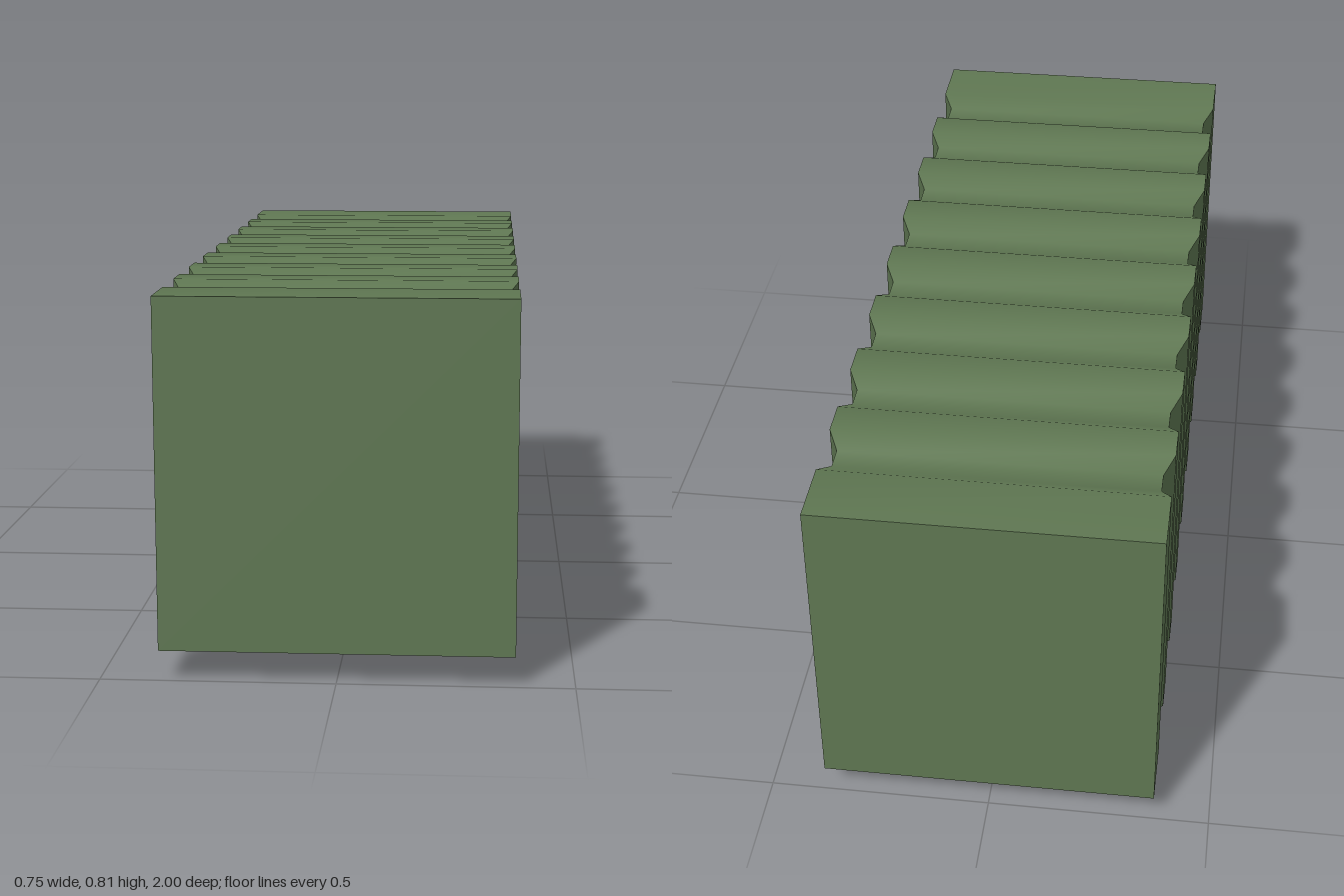
import * as THREE from 'three';

const HALF = 0.375, DEPTH = 0.023, CENTRE_Y = 0.44;
const GROOVES = 8, PITCH = 0.2229;

// Outline along the length: [z, half width], flat ends with eight grooves between
function corrugatedProfile() {
  const rows = [[-1, HALF]];
  for (let i = 0; i < GROOVES; i++) {
    const z = (i - (GROOVES - 1) / 2) * PITCH;
    rows.push([z - 0.07, HALF], [z - 0.027, HALF - DEPTH], [z + 0.027, HALF - DEPTH], [z + 0.07, HALF]);
  }
  rows.push([1, HALF]);
  return rows;
}

// One corrugated wall facing +y, smooth along the length
function wallGeometry() {
  const positions = [], indices = [];
  corrugatedProfile().forEach(([z, r], i) => {
    positions.push(-r, r, z, r, r, z);
    if (i > 0) {
      const a = 2 * (i - 1);
      indices.push(a, a + 2, a + 1, a + 1, a + 2, a + 3);
    }
  });
  const geometry = new THREE.BufferGeometry();
  geometry.setAttribute('position', new THREE.Float32BufferAttribute(positions, 3));
  geometry.setIndex(indices);
  geometry.computeVertexNormals();
  return geometry;
}

export function createModel() {
  const model = new THREE.Group();
  const green = new THREE.MeshStandardMaterial({ color: 0x5f7752 });
  const grey = new THREE.MeshStandardMaterial({ color: 0xcccccc });

  // Container body: four corrugated walls and two flat ends
  const body = new THREE.Group();
  body.name = 'containerBody';
  body.position.y = CENTRE_Y;
  const wall = wallGeometry();
  ['roof', 'rightWall', 'floor', 'leftWall'].forEach((name, i) => {
    const mesh = new THREE.Mesh(wall, green);
    mesh.name = name;
    mesh.rotation.z = i * Math.PI / 2;
    body.add(mesh);
  });
  const endPanel = new THREE.PlaneGeometry(2 * HALF, 2 * HALF);
  for (const side of [1, -1]) {
    const mesh = new THREE.Mesh(endPanel, green);
    mesh.name = side > 0 ? 'frontPanel' : 'backPanel';
    mesh.position.z = side;
    mesh.rotation.y = side > 0 ? 0 : Math.PI;
    body.add(mesh);
  }
  model.add(body);

  // Four rollers under the floor
  const rollerGeometry = new THREE.CylinderGeometry(0.06, 0.06, 0.425, 32).rotateZ(Math.PI / 2);
  [-0.75, -0.25, 0.25, 0.75].forEach((z, i) => {
    const roller = new THREE.Mesh(rollerGeometry, grey);
    roller.name = `roller${i + 1}`;
    roller.position.set(0, 0.06, z);
    model.add(roller);
  });

  return model;
}
